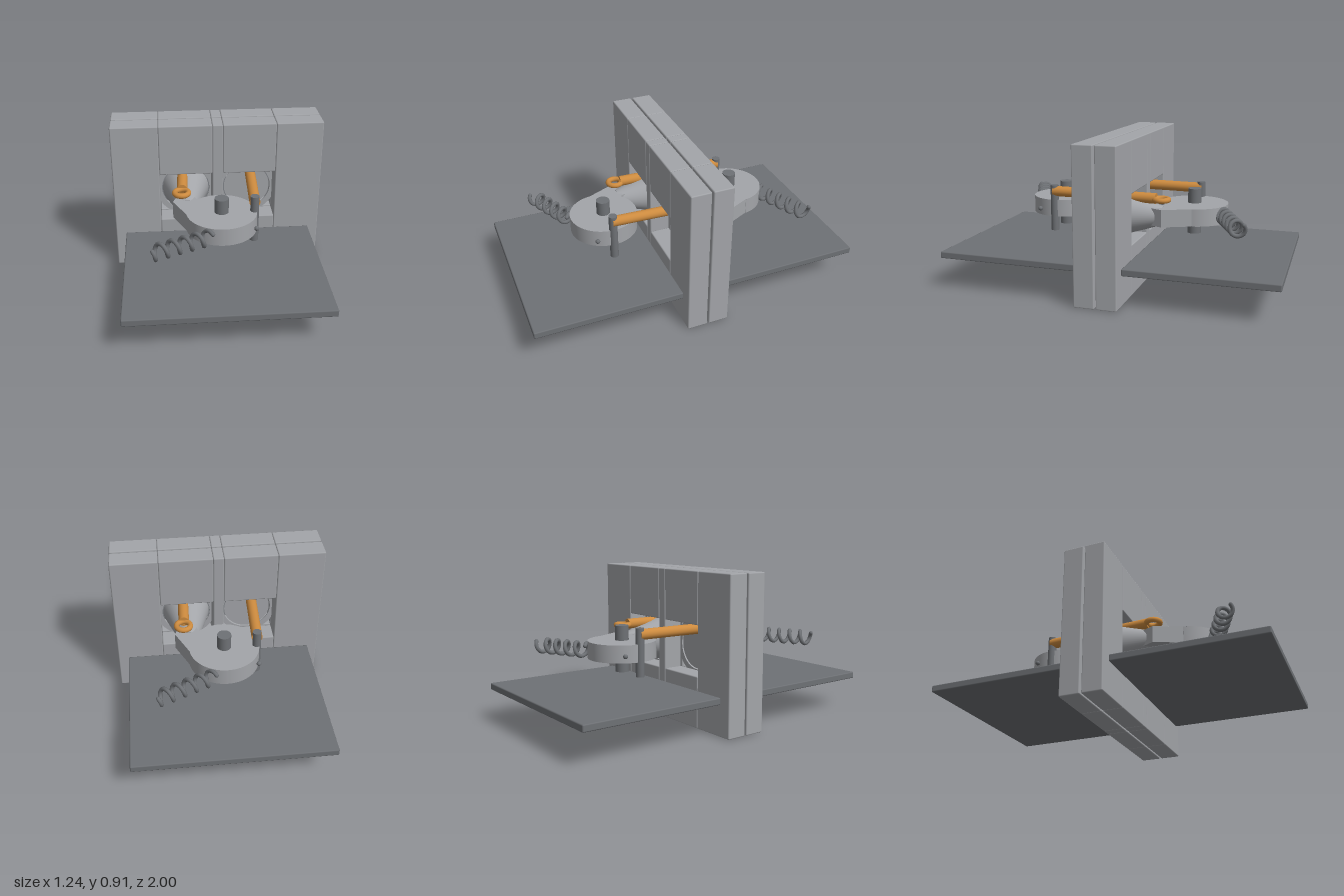
import * as THREE from 'three';
import { RoundedBoxGeometry } from 'three/addons/geometries/RoundedBoxGeometry.js';
import { toCreasedNormals } from 'three/addons/utils/BufferGeometryUtils.js';

const material = (name, color) => {
  const m = new THREE.MeshStandardMaterial({ color });
  m.name = name;
  return m;
};

export function createModel() {
  const light = material('lightGrey', 0xa3a5a9);
  const dark = material('darkGrey', 0x6e7175);
  const orange = material('orange', 0xcd8b3f);
  const MID = 0.457; // height of the cone, drum and spring axes

  const add = (parent, name, geometry, mat, x = 0, y = 0, z = 0) => {
    const mesh = new THREE.Mesh(geometry, mat);
    mesh.name = name;
    mesh.position.set(x, y, z);
    parent.add(mesh);
    return mesh;
  };
  // Box with fine chamfered edges, given by its limits
  const block = (parent, name, mat, x0, x1, y0, y1, z0, z1) => add(parent, name,
    new RoundedBoxGeometry(x1 - x0, y1 - y0, z1 - z0, 1, 0.007), mat,
    (x0 + x1) / 2, (y0 + y1) / 2, (z0 + z1) / 2);

  // One half of the machine; the other is the same, turned by half a turn
  function buildHalf(name) {
    const half = new THREE.Group();
    half.name = name;

    // Frame blocks around two square openings
    for (const s of [-1, 1]) {
      const span = (a, b) => (s < 0 ? [-b, -a] : [a, b]);
      block(half, 'frameSide', light, ...span(0.345, 0.622), 0, 0.914, 0.005, 0.127);
      block(half, 'frameTop', light, ...span(0.031, 0.345), 0.606, 0.914, 0.005, 0.127);
      block(half, 'frameBottom', light, ...span(0.031, 0.345), 0, 0.308, 0.005, 0.127);
    }
    block(half, 'frameCentre', light, -0.031, 0.031, 0, 0.914, 0.005, 0.127);

    // Floor plate
    block(half, 'floorPlate', dark, -0.56, 0.56, 0.188, 0.229, 0.132, 1);

    // Thin ring held between the frame halves
    const ring = new THREE.Shape().absarc(0, 0, 0.18, 0, Math.PI * 2);
    ring.holes.push(new THREE.Path().absarc(0, 0, 0.146, 0, Math.PI * 2, true));
    add(half, 'coneRing', toCreasedNormals(new THREE.ExtrudeGeometry(ring,
      { depth: 0.008, bevelEnabled: false, curveSegments: 32 }), 0.5), light, -0.188, MID, -0.004);

    // Cone narrowing towards the drum
    const cone = new THREE.CylinderGeometry(0.055, 0.14, 0.27, 48).rotateX(Math.PI / 2);
    add(half, 'cone', cone, light, -0.188, MID, 0.135);

    // Round drum with a tapering spout into the cone
    const drum = new THREE.Shape();
    drum.moveTo(-0.197, 0.44);
    drum.lineTo(-0.272, 0.28);
    drum.lineTo(-0.22, 0.16);
    drum.lineTo(-0.165, 0.16);
    drum.lineTo(-0.13, 0.263);
    drum.absarc(0, 0.415, 0.2, -2.28, 3.01, false);
    const drumGeo = new THREE.ExtrudeGeometry(drum,
      { depth: 0.102, bevelEnabled: false, curveSegments: 48 }).rotateX(Math.PI / 2);
    add(half, 'drum', toCreasedNormals(drumGeo, 0.5), light, 0, 0.508, 0);

    // Axle, crank pin and small side peg
    add(half, 'axle', new THREE.CylinderGeometry(0.04, 0.04, 0.272, 32), dark, 0, 0.458, 0.415);
    add(half, 'crankPin', new THREE.CylinderGeometry(0.025, 0.025, 0.28, 24), dark, 0.187, 0.46, 0.415);
    add(half, 'sidePeg', new THREE.SphereGeometry(0.014, 12, 8), dark, 0.188, 0.447, 0.512);

    // Connecting rod through the opening, ending in an eye
    const start = new THREE.Vector3(0.187, 0.562, 0.42);
    const end = new THREE.Vector3(0.216, 0.562, -0.235);
    const dir = end.clone().sub(start);
    const rod = add(half, 'connectingRod',
      new THREE.CylinderGeometry(0.031, 0.031, dir.length(), 24), orange);
    rod.position.copy(start).add(end).multiplyScalar(0.5);
    rod.quaternion.setFromUnitVectors(new THREE.Vector3(0, 1, 0), dir.normalize());
    add(half, 'rodEye', new THREE.TorusGeometry(0.04, 0.016, 12, 32).rotateX(Math.PI / 2),
      orange, 0.22, 0.558, -0.267);

    // Coil spring leaving the drum
    const from = new THREE.Vector3(-0.075, MID, 0.6);
    const to = new THREE.Vector3(-0.4, MID, 0.745);
    const along = to.clone().sub(from).normalize();
    const up = new THREE.Vector3(0, 1, 0);
    const side = new THREE.Vector3().crossVectors(along, up);
    if (side.z < 0) side.negate();
    const points = [];
    for (let i = 0; i <= 80; i++) {
      const t = i / 80;
      const a = Math.PI / 4 + (1 - t) * -5 * Math.PI * 2;
      points.push(from.clone().lerp(to, t)
        .addScaledVector(up, 0.039 * Math.sin(a)).addScaledVector(side, 0.039 * Math.cos(a)));
    }
    add(half, 'spring', new THREE.TubeGeometry(new THREE.CatmullRomCurve3(points), 200, 0.012, 8), dark);
    for (const p of [points[0], points[80]]) {
      add(half, 'springEnd', new THREE.SphereGeometry(0.012, 8, 6), dark, p.x, p.y, p.z);
    }
    return half;
  }

  const model = new THREE.Group();
  model.name = 'pumpModel';
  const back = buildHalf('backHalf');
  back.rotation.y = Math.PI;
  model.add(buildHalf('frontHalf'), back);
  return model;
}
